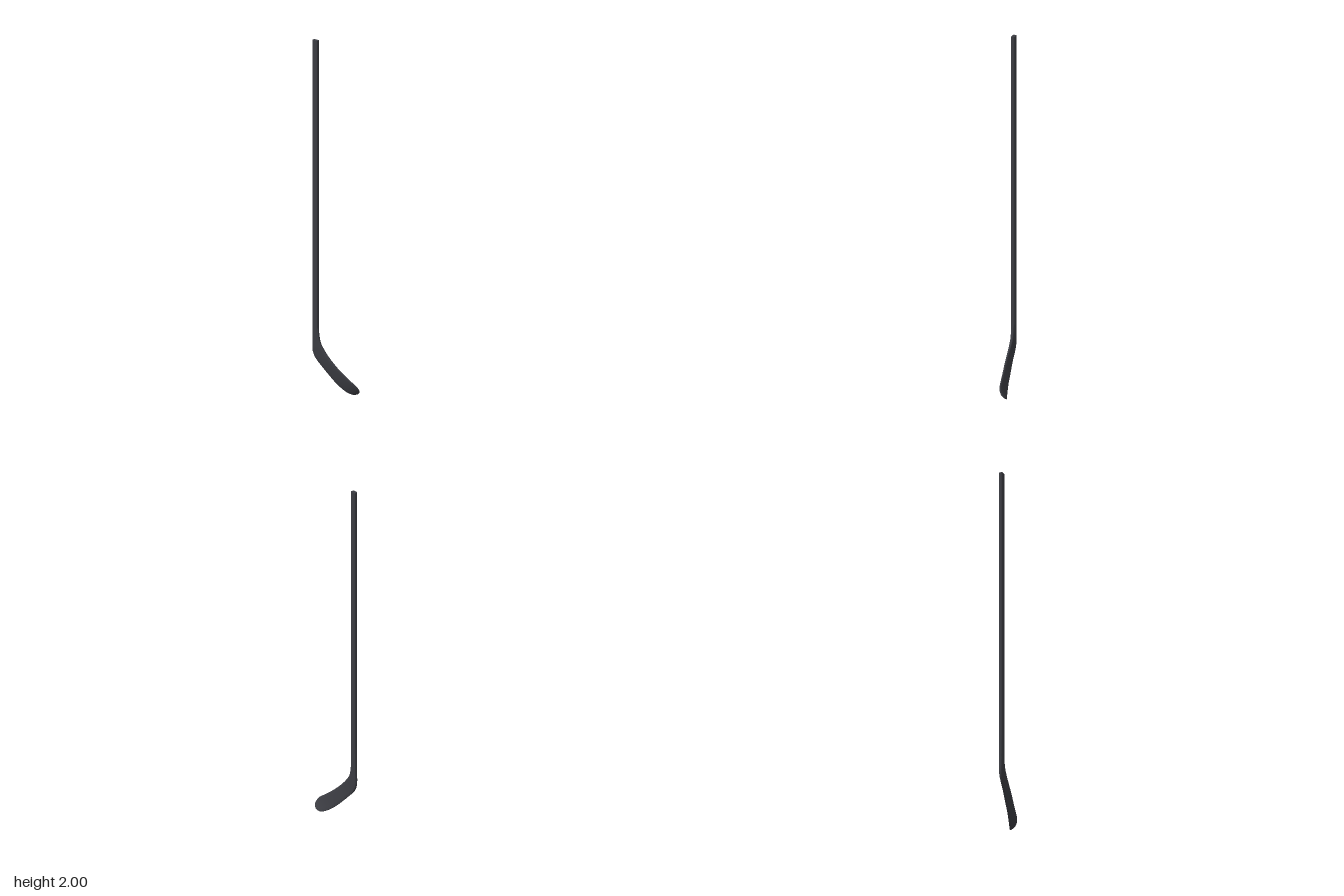
import * as THREE from 'three';
import { toCreasedNormals } from 'three/addons/utils/BufferGeometryUtils.js';

const material = new THREE.MeshStandardMaterial({ color: 0x3b3c42, side: THREE.DoubleSide });

// Shaft: rounded rectangle extruded upwards
function shaftGeometry(w, d, r, y0, y1) {
  const s = new THREE.Shape();
  const x = w / 2, y = d / 2;
  s.moveTo(-x + r, -y);
  s.lineTo(x - r, -y).quadraticCurveTo(x, -y, x, -y + r);
  s.lineTo(x, y - r).quadraticCurveTo(x, y, x - r, y);
  s.lineTo(-x + r, y).quadraticCurveTo(-x, y, -x, y - r);
  s.lineTo(-x, -y + r).quadraticCurveTo(-x, -y, -x + r, -y);
  const g = new THREE.ExtrudeGeometry(s, { depth: y1 - y0, bevelEnabled: false, curveSegments: 5 });
  g.rotateX(-Math.PI / 2).translate(0, y0, 0);
  return toCreasedNormals(g, 0.7);
}

// Blade stations: heel/lower edge xyz, upper edge xyz, thickness
const STATIONS = [
  [-0.136, 0.47, 0.027, -0.103, 0.44, 0.027, 0.021],
  [-0.137, 0.31, 0.027, -0.102, 0.35, 0.027, 0.021],
  [-0.136, 0.225, 0.027, -0.088, 0.278, 0.027, 0.019],
  [-0.120, 0.188, 0.026, -0.062, 0.238, 0.026, 0.016],
  [-0.085, 0.148, 0.021, -0.025, 0.196, 0.0245, 0.013],
  [-0.040, 0.100, 0.012, 0.015, 0.157, 0.020, 0.011],
  [0.000, 0.060, 0.004, 0.055, 0.122, 0.013, 0.010],
  [0.040, 0.027, -0.008, 0.095, 0.091, 0.006, 0.009],
  [0.065, 0.012, -0.017, 0.118, 0.074, 0.000, 0.009],
  [0.090, 0.005, -0.028, 0.131, 0.056, -0.008, 0.008],
  [0.111, 0.011, -0.034, 0.135, 0.039, -0.019, 0.007],
  [0.125, 0.021, -0.031, 0.131, 0.028, -0.027, 0.003],
];

// Blade: loft of softened rectangles between the two edge curves
function bladeGeometry(steps, sides) {
  const curve = (k) => new THREE.CatmullRomCurve3(
    STATIONS.map((s) => new THREE.Vector3(s[k], s[k + 1], s[k + 2])));
  const lower = curve(0), upper = curve(3);
  const mid = (t) => lower.getPoint(t).add(upper.getPoint(t)).multiplyScalar(0.5);
  const soft = (v) => Math.sign(v) * Math.sqrt(Math.abs(v));
  const pos = [], idx = [];

  for (let i = 0; i <= steps; i++) {
    const t = i / steps;
    const f = t * (STATIONS.length - 1);
    const k = Math.min(Math.floor(f), STATIONS.length - 2);
    const thick = THREE.MathUtils.lerp(STATIONS[k][6], STATIONS[k + 1][6], f - k);
    const c = mid(t);
    const half = upper.getPoint(t).sub(lower.getPoint(t)).multiplyScalar(0.5);
    const along = mid(Math.min(t + 0.01, 1)).sub(mid(Math.max(t - 0.01, 0)));
    const normal = along.cross(half).normalize().multiplyScalar(thick / 2);
    for (let j = 0; j < sides; j++) {
      const a = (j / sides) * Math.PI * 2;
      const p = c.clone().addScaledVector(half, soft(Math.cos(a))).addScaledVector(normal, soft(Math.sin(a)));
      pos.push(p.x, Math.max(p.y, 0), p.z);
    }
  }
  for (let i = 0; i < steps; i++) {
    for (let j = 0; j < sides; j++) {
      const a = i * sides + j, b = i * sides + (j + 1) % sides;
      idx.push(a, b, a + sides, b, b + sides, a + sides);
    }
  }
  // end caps
  const last = steps * sides;
  for (let j = 1; j < sides - 1; j++) {
    idx.push(0, j + 1, j, last, last + j, last + j + 1);
  }
  const g = new THREE.BufferGeometry();
  g.setAttribute('position', new THREE.Float32BufferAttribute(pos, 3));
  g.setIndex(idx);
  return toCreasedNormals(g, 0.8);
}

export function createModel() {
  const group = new THREE.Group();
  group.name = 'hockeyStick';

  const shaft = new THREE.Mesh(shaftGeometry(0.033, 0.0205, 0.007, 0.3, 2), material);
  shaft.name = 'shaft';
  shaft.position.set(-0.1195, 0, 0.027);

  const blade = new THREE.Mesh(bladeGeometry(88, 32), material);
  blade.name = 'blade';

  group.add(shaft, blade);
  return group;
}
